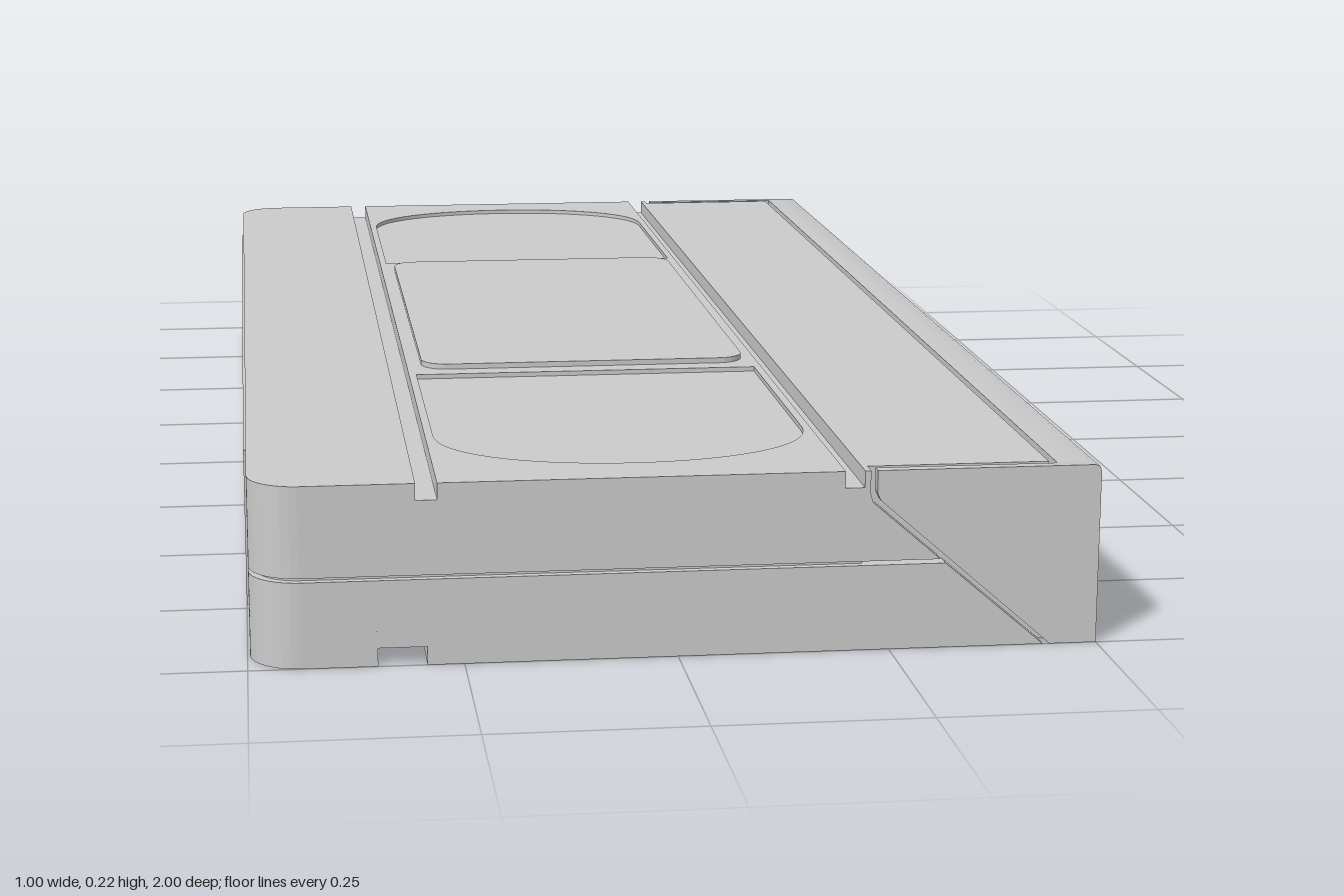
import * as THREE from 'three';
import { toCreasedNormals } from 'three/addons/utils/BufferGeometryUtils.js';

const material = new THREE.MeshStandardMaterial({ color: 0xcccccc });
const TOP = 0.217;
const REEL_X = -0.108, REEL_Z = 0.495, REEL_R = 0.18;

export function createModel() {
  const model = new THREE.Group();

  const add = (name, geometry, parent = model) => {
    const mesh = new THREE.Mesh(geometry, material);
    mesh.name = name;
    parent.add(mesh);
    return mesh;
  };
  const extrude = (shape, depth) => toCreasedNormals(
    new THREE.ExtrudeGeometry(shape, { depth, bevelEnabled: false, curveSegments: 20 }), 0.5);
  // Plan outline (x, -z) raised from y0 to y1
  const slab = (name, shape, y0, y1, parent) =>
    add(name, extrude(shape, y1 - y0).rotateX(-Math.PI / 2).translate(0, y0, 0), parent);
  // Side profile (x, y) run from z0 to z1
  const profile = (name, points, z0, z1, parent) =>
    add(name, extrude(new THREE.Shape(points.map(p => new THREE.Vector2(...p))), z1 - z0).translate(0, 0, z0), parent);
  const circle = (x, y, r) => new THREE.Path().absarc(x, y, r, 0, Math.PI * 2, true);
  const ring = (r0, r1) => {
    const s = new THREE.Shape().absarc(0, 0, r1, 0, Math.PI * 2);
    s.holes.push(circle(0, 0, r0));
    return s;
  };

  // Plan strip, optionally with rounded spine corners, grip notches and a round bite in the groove edge
  function plan(x0, x1, { r = 0, inset = 0, notches = [], bite = false } = {}) {
    const b = 1 - inset, s = new THREE.Shape();
    s.moveTo(x1, -b);
    if (bite) {
      s.lineTo(x1, -0.0384);
      s.absarc(-0.333, 0, 0.042, Math.PI + 1.15, Math.PI - 1.15, true);
    }
    s.lineTo(x1, b);
    if (r) s.absarc(x0 + r, b - r, r, Math.PI / 2, Math.PI);
    else s.lineTo(x0, b);
    for (const [a, c] of notches) {
      s.lineTo(x0, a); s.lineTo(x0 + 0.025, a); s.lineTo(x0 + 0.025, c); s.lineTo(x0, c);
    }
    if (r) s.absarc(x0 + r, -b + r, r, Math.PI, Math.PI * 1.5);
    else s.lineTo(x0, -b);
    return s;
  }
  const withReelHoles = s => {
    for (const z of [-REEL_Z, REEL_Z]) s.holes.push(circle(REEL_X, z, REEL_R));
    return s;
  };

  const L = -0.497, R = 0.218, r = 0.06;
  // Lower shell: base strips either side of the long groove, then the walls
  const lower = new THREE.Group();
  lower.name = 'lowerShell';
  model.add(lower);
  const edge = plan(L, -0.35, { r, bite: true });
  for (const z of [-0.94, 0.94]) edge.holes.push(circle(-0.45, z, 0.022));
  const notches = [[0.93, 0.9], [0.875, 0.82], [-0.82, -0.875], [-0.9, -0.93]];
  slab('spineBase', edge, 0, 0.022, lower);
  slab('base', withReelHoles(plan(-0.293, R)), 0, 0.022, lower);
  slab('reelWell', withReelHoles(plan(L, R, { r, notches })), 0.022, 0.042, lower);
  slab('lowerWall', plan(L, R, { r, notches }), 0.042, 0.085, lower);
  slab('lowerRim', plan(L, R, { r }), 0.085, 0.103, lower);
  slab('seam', plan(L + 0.01, R, { r: r - 0.01, inset: 0.01 }), 0.103, 0.108);

  // Upper shell: wall, then three top strips leaving two long grooves
  const upper = new THREE.Group();
  upper.name = 'upperShell';
  model.add(upper);
  slab('upperWall', plan(L, R, { r }), 0.108, 0.197, upper);
  slab('spineTop', plan(L, -0.305, { r }), 0.197, TOP, upper);
  const middle = plan(-0.28, 0.195);
  for (const s of [-1, 1]) {
    const w = new THREE.Path();
    w.moveTo(-0.27, s * 0.42);
    w.lineTo(0.185, s * 0.42);
    w.lineTo(0.185, s * 0.77);
    w.bezierCurveTo(0.185, s * 0.87, 0.08, s * 0.93, -0.042, s * 0.93);
    w.bezierCurveTo(-0.165, s * 0.93, -0.27, s * 0.87, -0.27, s * 0.77);
    w.closePath();
    middle.holes.push(w);
    add('windowPane', new THREE.BoxGeometry(0.465, 0.014, 0.53).translate(-0.0425, 0.204, s * 0.675), upper);
  }
  slab('middleTop', middle, 0.197, TOP, upper);

  // Raised label on the top and a shallow label on the spine
  const x0 = -0.26, x1 = 0.177, h = 0.39, c = 0.035;
  const label = new THREE.Shape();
  label.absarc(x1 - c, h - c, c, 0, Math.PI / 2);
  label.absarc(x0 + c, h - c, c, Math.PI / 2, Math.PI);
  label.absarc(x0 + c, c - h, c, Math.PI, Math.PI * 1.5);
  label.absarc(x1 - c, c - h, c, Math.PI * 1.5, Math.PI * 2);
  slab('topLabel', label, TOP - 0.005, 0.224);
  add('spineLabel', new THREE.BoxGeometry(0.01, 0.195, 1.55).translate(-0.495, 0.109, 0));

  // Tape housing behind the flap, with sloped end walls split at the seam
  profile('tapeHousing', [[R, 0], [0.442, 0], [0.442, TOP], [R, TOP]], -0.978, 0.978);
  for (const z of [-1, 0.978]) {
    profile('lowerEndWall', [[R, 0], [0.436, 0], [0.316, 0.103], [R, 0.103]], z, z + 0.022);
    profile('upperEndWall', [[R, 0.108], [0.31, 0.108], [0.228, 0.179], [0.225, 0.19], [0.225, TOP], [R, TOP]], z, z + 0.022);
  }

  // Hinged flap: long front bar with a thin cheek at each end
  const flap = new THREE.Group();
  flap.name = 'flap';
  model.add(flap);
  const nose = [[0.5, 0], [0.5, 0.209], [0.498, 0.215], [0.492, TOP]];
  profile('flapBar', [[0.45, 0], ...nose, [0.45, TOP]], -0.986, 0.986, flap);
  for (const z of [-1, 0.986])
    profile('flapCheek', [[0.444, 0], ...nose, [0.233, TOP], [0.233, 0.19], [0.237, 0.181]], z, z + 0.014, flap);

  // Reels sunk in the base: flange, two rims, spokes and drive teeth
  for (const z of [-REEL_Z, REEL_Z]) {
    const reel = new THREE.Group();
    reel.name = 'reel';
    reel.position.set(REEL_X, 0, z);
    model.add(reel);
    slab('flange', ring(0.085, 0.165), 0.02, 0.043, reel);
    slab('outerRim', ring(0.148, 0.165), 0.008, 0.021, reel);
    slab('hubRim', ring(0.085, 0.102), 0.008, 0.021, reel);
    for (let i = 0; i < 12; i++) {
      const a = i * Math.PI / 6;
      add('spoke', new THREE.BoxGeometry(0.05, 0.011, 0.01).translate(0.125, 0.0155, 0).rotateY(a), reel);
      if (i % 2) add('driveTooth', new THREE.BoxGeometry(0.025, 0.03, 0.014).translate(0.076, 0.027, 0).rotateY(a), reel);
    }
  }
  return model;
}
